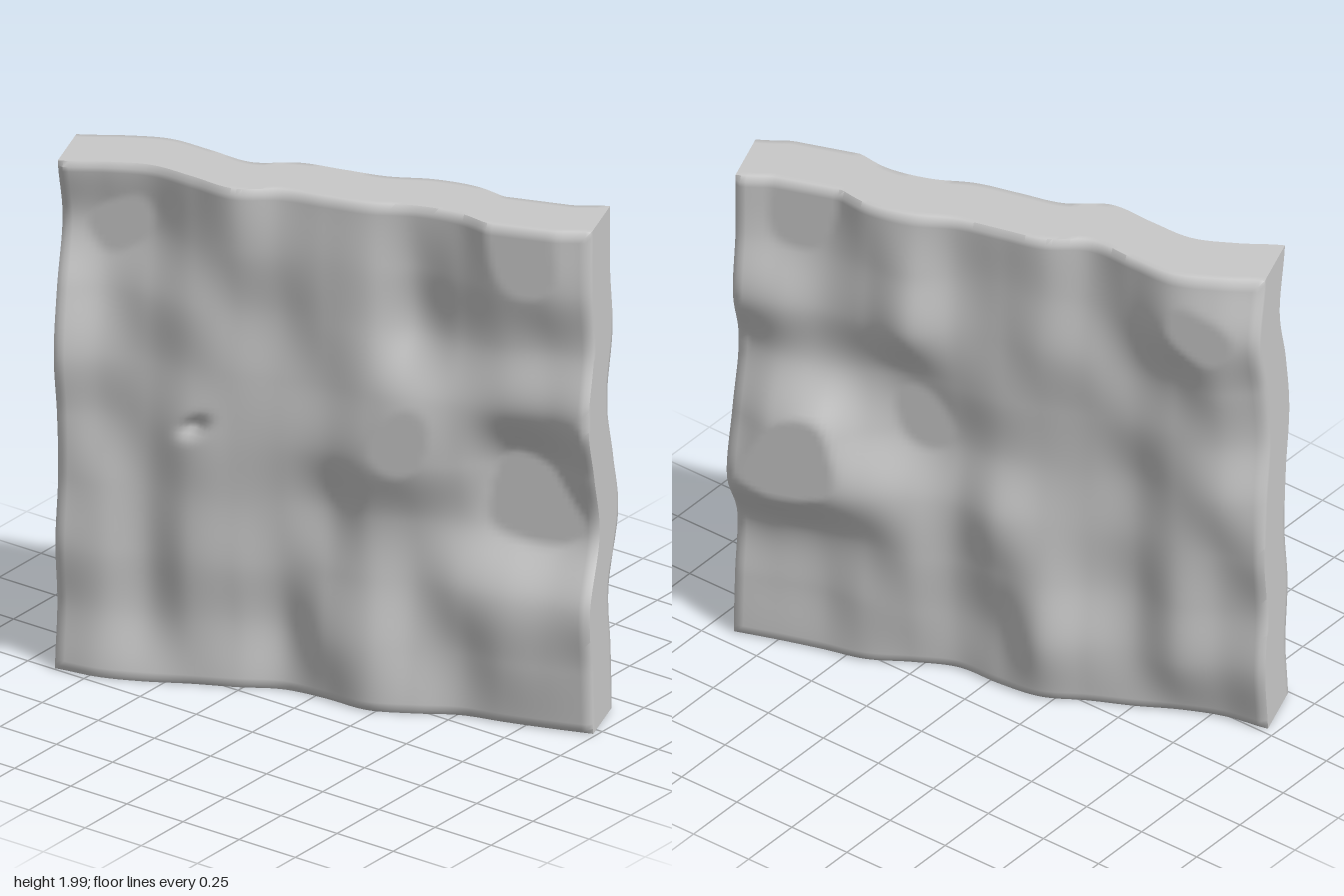
import * as THREE from 'three';
import { toCreasedNormals } from 'three/addons/utils/BufferGeometryUtils.js';

const LENGTH = 2, HEIGHT = 1.99, THICK = 0.26, EDGE = 0.015;

// Relief in hundredths on an even grid: rows run bottom to top, columns right end to left end
const RELIEF = [
  [4.5, 7, 6, 3, 1, -2, 1, 6, 4, 0.5, 1.5, 2, 2],
  [1.5, 3, 0, 3, -0.5, -5, 3, 6, 1, 0, 4, 4, 3.5],
  [4, 4, 0, 5, 3, -2, 0, 3, -1, 2, 4, 4, 6],
  [0.5, 2, 0, 4, 3, 0, -3, 2, 0, -4, -8, -9, -6],
  [2, -2, 0, 5, 4, 3, 3, 7, 8, 2, -8.5, -7, 0.5],
  [6, 0, -1, 2, 3, 2, 2, 5, 6.5, 5, 4, 4, 8],
  [2, -4, -1, 3, 1, 0, 3, 3, -4, 0, 3, 1, 1],
  [-5, -8, -7, 0, 4, 2, 3.5, 4, -2, 2, 7, 7.5, 4],
  [1, -3, -5, 0, 5.5, 1, 2, 3, 0.5, 2, 9, 8, 4],
];

// Smooth curve through evenly spaced values, t from 0 to 1
function spline(values, t) {
  const n = values.length - 1;
  const i = Math.min(Math.floor(t * n), n - 1), f = t * n - i;
  const [a, b, c, d] = [-1, 0, 1, 2].map((k) => values[THREE.MathUtils.clamp(i + k, 0, n)]);
  return b + 0.5 * f * (c - a + f * (2 * a - 5 * b + 4 * c - d + f * (3 * (b - c) + d - a)));
}

// Relief height, cut off flat at the tallest peaks and deepest hollows
function relief(x, y) {
  const u = THREE.MathUtils.clamp(x / LENGTH + 0.5, 0, 1);
  const v = THREE.MathUtils.clamp(y / HEIGHT + 0.5, 0, 1);
  const h = spline(RELIEF.map((row) => spline(row, u)), v) / 100;
  return THREE.MathUtils.clamp(h, -0.068, 0.072);
}

// Small slanted pit in the front face
function pit(x, y) {
  const dx = x + 0.48, dy = y - 0.03;
  const along = dx * 0.85 + dy * 0.5, across = dy * 0.85 - dx * 0.5;
  return 0.04 * Math.exp(-((along / 0.05) ** 2) - (across / 0.03) ** 2);
}

export function createModel() {
  const model = new THREE.Group();
  model.name = 'wavySlab';
  const stone = new THREE.MeshStandardMaterial({ color: 0xc8c8c8 });
  stone.name = 'grey stone';

  // Box whose two broad faces follow the same relief, with softened rims
  const box = new THREE.BoxGeometry(LENGTH, HEIGHT, THICK, 100, 100, 10);
  const pos = box.attributes.position;
  for (let i = 0; i < pos.count; i++) {
    const x = pos.getX(i), y = pos.getY(i);
    let z = pos.getZ(i);
    const front = z > THICK / 2 - 1e-4;
    const rim = Math.min(LENGTH / 2 - Math.abs(x), HEIGHT / 2 - Math.abs(y));
    if (rim < 1e-4) z *= 1 - (2 * EDGE) / THICK;
    z += relief(x, y);
    if (front) z -= pit(x, y);
    pos.setZ(i, z);
  }
  const slab = new THREE.Mesh(toCreasedNormals(box, 0.95), stone);
  slab.name = 'slab';
  slab.position.y = HEIGHT / 2;
  slab.rotation.y = THREE.MathUtils.degToRad(20);
  model.add(slab);
  return model;
}
